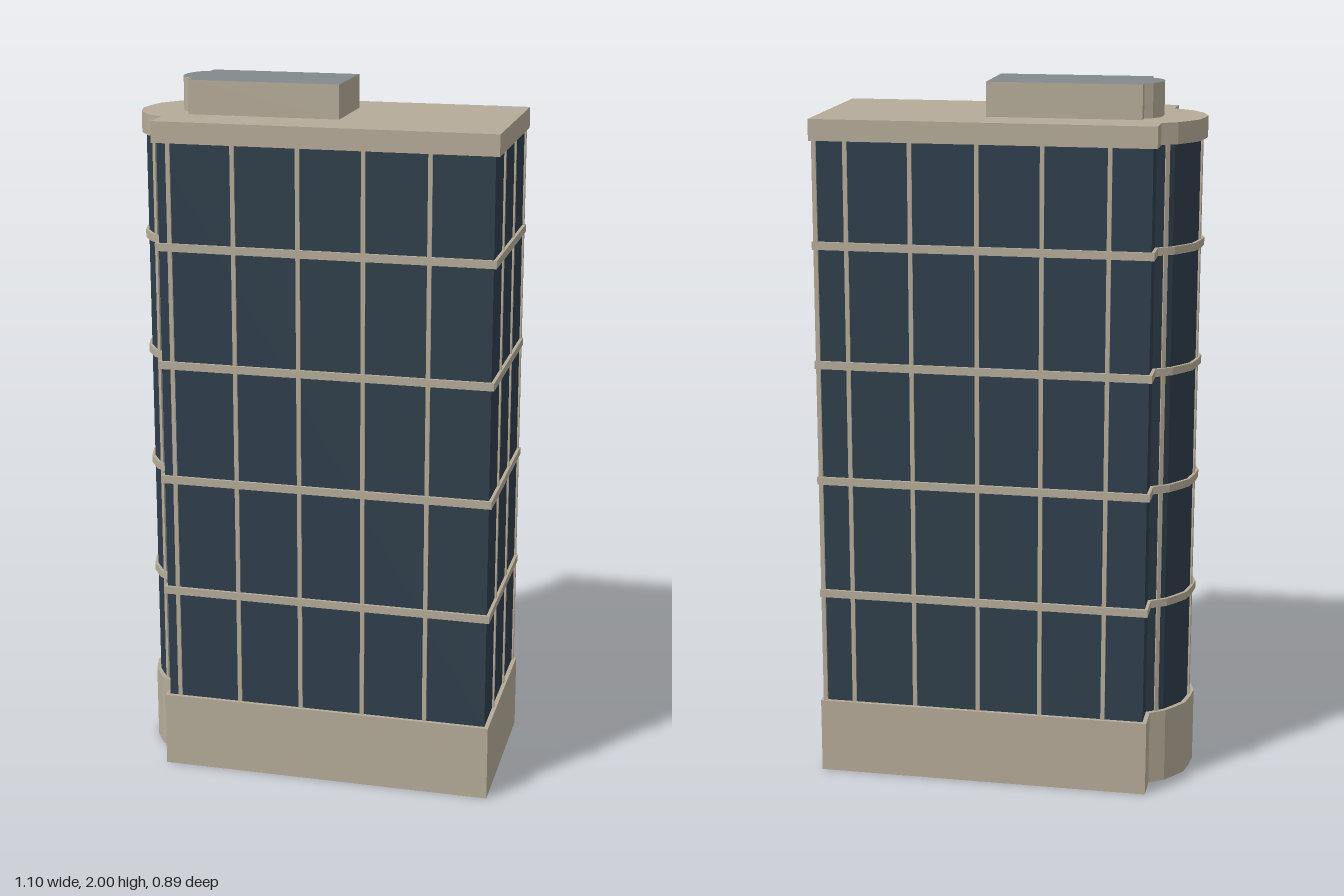
import * as THREE from 'three';

const beige = new THREE.MeshStandardMaterial({ color: 0xb5ab98 });
beige.name = 'beige stone';
const glass = new THREE.MeshStandardMaterial({ color: 0x2f3e4b });
glass.name = 'dark blue glass';
const grey = new THREE.MeshStandardMaterial({ color: 0x83888d });
grey.name = 'grey roofing';

// Footprints as [x, z]: a rotated block with a rounded bay on one end
const FOOTPRINT = [
  [0.312, -0.446], [0.549, 0.028], [-0.321, 0.442],
  [-0.356, 0.362], [-0.424, 0.35], [-0.48, 0.315], [-0.524, 0.264], [-0.542, 0.214],
  [-0.554, 0.164], [-0.548, 0.123], [-0.539, 0.081], [-0.513, 0.037],
  [-0.548, -0.037],
];
const PENTHOUSE = [
  [-0.049, -0.121], [0.056, 0.093], [-0.334, 0.279],
  [-0.35, 0.242], [-0.388, 0.235], [-0.415, 0.211], [-0.433, 0.176],
  [-0.439, 0.146], [-0.436, 0.117], [-0.421, 0.096],
  [-0.436, 0.064],
];

const BASE_TOP = 0.217, CAP_BOTTOM = 1.846, ROOF = 1.905, TOP = 2;

// Outward normal of the edge from a to b
function normal(a, b) {
  const dx = b[0] - a[0], dz = b[1] - a[1], l = Math.hypot(dx, dz);
  return [dz / l, -dx / l];
}

// Move every edge inwards by d, with mitred corners
function inset(pts, d) {
  const n = pts.length;
  return pts.map((p, i) => {
    const n1 = normal(pts[(i + n - 1) % n], p);
    const n2 = normal(p, pts[(i + 1) % n]);
    const k = d / (1 + n1[0] * n2[0] + n1[1] * n2[1]);
    return [p[0] - k * (n1[0] + n2[0]), p[1] - k * (n1[1] + n2[1])];
  });
}

// Upright prism over a footprint
function prism(name, pts, y0, y1, material) {
  const shape = new THREE.Shape(pts.map(([x, z]) => new THREE.Vector2(x, -z)));
  const geo = new THREE.ExtrudeGeometry(shape, { depth: y1 - y0, bevelEnabled: false });
  geo.rotateX(-Math.PI / 2);
  geo.translate(0, y0, 0);
  const mesh = new THREE.Mesh(geo, material);
  mesh.name = name;
  return mesh;
}

export function createModel() {
  const model = new THREE.Group();
  model.name = 'officeTower';
  const wall = inset(FOOTPRINT, 0.012);

  // Main storeys
  model.add(prism('base', FOOTPRINT, 0, BASE_TOP, beige));
  model.add(prism('glassWalls', wall, BASE_TOP, CAP_BOTTOM, glass));
  model.add(prism('roofCap', FOOTPRINT, CAP_BOTTOM, ROOF, beige));
  model.add(prism('penthouse', PENTHOUSE, ROOF, TOP, [grey, beige]));

  // Floor bands
  for (let i = 0; i < 4; i++) {
    const y = 0.546 + i * 0.337;
    model.add(prism('floorBand', inset(FOOTPRINT, 0.003), y - 0.011, y + 0.011, beige));
  }

  // Mullions: [edge of the footprint, fractions along it]
  const layout = [
    [0, [0.02, 0.365, 0.71]],
    [1, [0.046, 0.236, 0.426, 0.616, 0.806].map((t) => 1 - t)],
    [3, [0.75]], [6, [0.62]], [10, [0.5]],
    [12, [0.133, 0.325, 0.513, 0.707, 0.896]],
  ];
  const height = CAP_BOTTOM - BASE_TOP;
  const geo = new THREE.BoxGeometry(0.012, height, 0.012);
  for (const [edge, stops] of layout) {
    const a = FOOTPRINT[edge], b = FOOTPRINT[(edge + 1) % FOOTPRINT.length];
    const n = normal(a, b);
    for (const t of stops) {
      const bar = new THREE.Mesh(geo, beige);
      bar.name = 'mullion';
      bar.position.set(
        a[0] + (b[0] - a[0]) * t - n[0] * 0.013,
        BASE_TOP + height / 2,
        a[1] + (b[1] - a[1]) * t - n[1] * 0.013,
      );
      bar.rotation.y = Math.atan2(n[0], n[1]);
      model.add(bar);
    }
  }
  return model;
}
